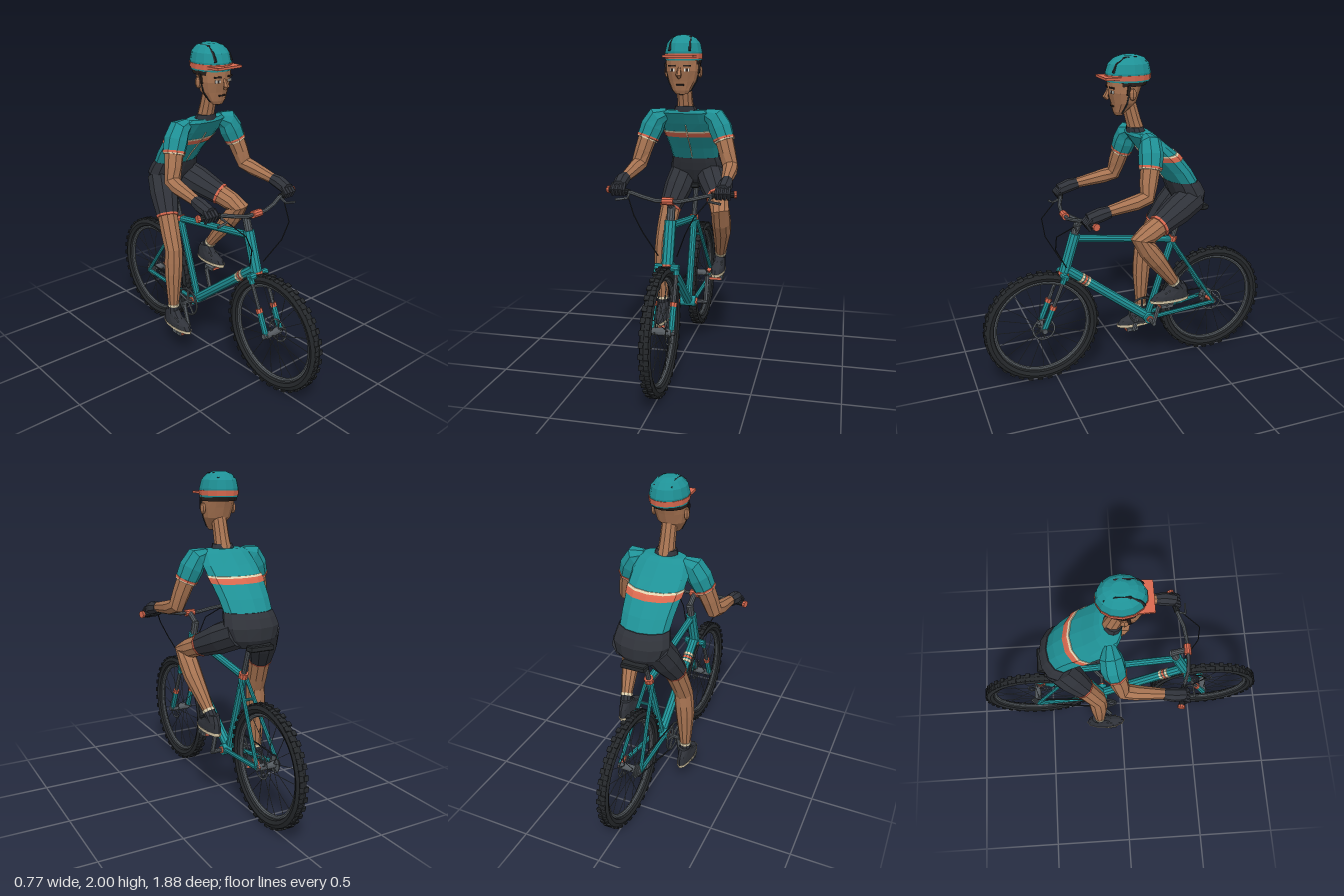
import * as THREE from 'three';

const mat = (name, color) => Object.assign(new THREE.MeshStandardMaterial({ color }), { name });
const V = (x, y, z) => new THREE.Vector3(x, y, z);

// Flat-faced skin over a list of equal-sized rings, capped at both ends
function loft(rings) {
  const p = [], tri = (...v) => v.forEach(a => p.push(a.x, a.y, a.z));
  const n = rings[0].length, last = rings[rings.length - 1];
  for (let i = 0; i + 1 < rings.length; i++) for (let j = 0; j < n; j++) {
    const k = (j + 1) % n, a = rings[i][j], b = rings[i][k], c = rings[i + 1][k], d = rings[i + 1][j];
    tri(a, b, c); tri(a, c, d);
  }
  for (let j = 1; j + 1 < n; j++) { tri(rings[0][0], rings[0][j + 1], rings[0][j]); tri(last[0], last[j], last[j + 1]); }
  const g = new THREE.BufferGeometry();
  g.setAttribute('position', new THREE.Float32BufferAttribute(p, 3));
  g.computeVertexNormals();
  return g;
}

// Horizontal oval sections [y, centre z, half width, half depth]
const stack = (secs, n = 12) => loft(secs.map(([y, zc, rx, rz]) => Array.from({ length: n }, (_, j) => {
  const a = j / n * Math.PI * 2;
  return V(rx * Math.cos(a), y, zc - rz * Math.sin(a));
})));

// Round sections along a path of [x, y, z, radius]
function limb(pts, n = 8, r0 = 0.01) {
  const P = pts.map(p => V(p[0], p[1], p[2]));
  const span = P[P.length - 1].clone().sub(P[0]).normalize();
  const ref = Math.abs(span.x) > 0.8 ? V(0, 1, 0) : V(1, 0, 0);
  return loft(P.map((c, i) => {
    const d = V(0, 0, 0);
    if (i) d.add(c.clone().sub(P[i - 1]).normalize());
    if (i + 1 < P.length) d.add(P[i + 1].clone().sub(c).normalize());
    d.normalize();
    const v = d.clone().cross(ref).normalize(), u = v.clone().cross(d), r = pts[i][3] ?? r0;
    return Array.from({ length: n }, (_, j) => {
      const a = (j + 0.5) / n * Math.PI * 2;
      return c.clone().addScaledVector(u, r * Math.cos(a)).addScaledVector(v, r * Math.sin(a));
    });
  }));
}

const lerp = (a, b, t) => a.map((v, i) => v + (b[i] - v) * t);
const flat = g => { const f = g.toNonIndexed(); f.computeVertexNormals(); return f; };

export function createModel() {
  const root = new THREE.Group();
  const teal = mat('teal', 0x1f9297), coral = mat('coral', 0xd9694f), cloth = mat('charcoal cloth', 0x30333a),
    rubber = mat('rubber', 0x25282b), skin = mat('skin', 0xa87452), cream = mat('cream', 0xe2d3b0),
    metal = mat('grey metal', 0x555b60), hair = mat('dark hair', 0x2a211d), white = mat('eye white', 0xf0eee6);
  const add = (name, geo, m, parent = root) => {
    const o = new THREE.Mesh(geo, m); o.name = name; parent.add(o); return o;
  };
  const box = (name, w, h, d, m, x, y, z, parent) => {
    const o = add(name, new THREE.BoxGeometry(w, h, d), m, parent); o.position.set(x, y, z); return o;
  };
  const disc = (name, r, x0, x1, y, z, m, n = 20) => add(name, limb([[x0, y, z, r], [x1, y, z, r]], n), m);
  const hoop = (name, R, r, m, x, y, z, parent = root, seg = 40) => {
    const o = add(name, flat(new THREE.TorusGeometry(R, r, 8, seg).rotateY(Math.PI / 2)), m, parent);
    o.position.set(x, y, z); return o;
  };

  // Wheels
  for (const [name, z] of [['frontWheel', 0.577], ['rearWheel', -0.577]]) {
    const w = new THREE.Group(); w.name = name; w.position.set(0, 0.365, z); root.add(w);
    hoop('tyre', 0.33, 0.031, rubber, 0, 0, 0, w, 44);
    hoop('rim', 0.295, 0.013, metal, 0, 0, 0, w, 44);
    for (let i = 0; i < 36; i++) for (const s of [-1, 1]) {
      const a = (i + (s > 0 ? 0.5 : 0)) / 36 * Math.PI * 2;
      const k = box('tread', 0.026, 0.01, 0.03, rubber, s * 0.015, Math.cos(a) * 0.358, Math.sin(a) * 0.358, w);
      k.rotation.x = a;
    }
    for (let i = 0; i < 20; i++) {
      const a = i / 20 * Math.PI * 2, b = a + (i % 4 < 2 ? 0.25 : -0.25), s = i % 2 ? 1 : -1;
      add('spoke', limb([[s * 0.03, Math.cos(b) * 0.025, Math.sin(b) * 0.025], [0, Math.cos(a) * 0.29, Math.sin(a) * 0.29]], 4, 0.002), metal, w);
    }
    add('hub', limb([[-0.06, 0, 0, 0.022], [0.06, 0, 0, 0.022]], 12), metal, w);
    hoop('brakeDisc', 0.068, 0.006, metal, 0.042, 0, 0, w, 24).scale.x = 0.4;
    for (let i = 0; i < 6; i++) {
      const a = i / 6 * Math.PI * 2;
      add('discArm', limb([[0.042, 0, 0], [0.042, Math.cos(a) * 0.066, Math.sin(a) * 0.066]], 4, 0.004), metal, w);
    }
  }
  add('rearBrakeCaliper', limb([[0.06, 0.36, -0.59, 0.016], [0.06, 0.405, -0.53, 0.016]], 6), coral);

  // Frame
  const tube = (name, a, b, r, m = teal, n = 10) => add(name, limb([[...a, r], [...b, r]], n), m);
  const bb = [0, 0.307, -0.127], seatTop = [0, 0.835, -0.3], headTop = [0, 0.95, 0.35], headLow = [0, 0.71, 0.424];
  const downTop = [0, 0.725, 0.41];
  tube('headTube', headTop, headLow, 0.034);
  tube('topTube', [0, 0.92, 0.35], [0, 0.825, -0.296], 0.023);
  tube('downTube', downTop, bb, 0.031);
  tube('seatTube', bb, seatTop, 0.023);
  [[0.16, cream], [0.195, coral], [0.23, cream]].forEach(([t, m]) =>
    tube('downTubeBand', lerp(downTop, bb, t), lerp(downTop, bb, t + 0.025), 0.034, m));
  tube('seatCollar', lerp(bb, seatTop, 0.96), lerp(bb, seatTop, 1.02), 0.029, coral);
  tube('seatPost', seatTop, [0, 1.02, -0.362], 0.016, metal);
  tube('headsetLower', headLow, [0, 0.69, 0.43], 0.036, coral);
  disc('bottomBracket', 0.034, -0.05, 0.05, bb[1], bb[2], teal, 12);
  disc('bottomBracketCup', 0.022, -0.06, 0.06, bb[1], bb[2], coral, 12);
  for (const s of [-1, 1]) {
    tube('seatStay', [s * 0.022, 0.81, -0.295], [s * 0.07, 0.365, -0.577], 0.012, teal, 8);
    tube('chainStay', [s * 0.035, 0.31, -0.14], [s * 0.07, 0.365, -0.577], 0.014, teal, 8);
    // Fork leg: stanchion, collar and slider
    const top = [s * 0.058, 0.7, 0.435], low = [s * 0.058, 0.365, 0.577];
    tube('forkStanchion', top, low, 0.012, metal, 8);
    tube('forkShoulder', top, lerp(top, low, 0.12), 0.018, teal, 8);
    tube('forkCollar', lerp(top, low, 0.54), lerp(top, low, 0.61), 0.021, coral, 8);
    tube('forkSlider', lerp(top, low, 0.61), low, 0.018, teal, 8);
    disc('dropout', 0.02, s * 0.05, s * 0.075, 0.365, -0.577, metal, 8);
    disc('axleEnd', 0.017, s * 0.06, s * 0.08, 0.365, 0.577, metal, 8);
  }
  tube('forkCrown', [-0.07, 0.695, 0.435], [0.07, 0.695, 0.435], 0.022);
  tube('seatStayBridge', [-0.035, 0.7, -0.365], [0.035, 0.7, -0.365], 0.009);

  // Saddle
  const sh = new THREE.Shape([[-0.018, 0.32], [0.018, 0.32], [0.03, 0.41], [0.075, 0.47], [0.068, 0.505],
    [-0.068, 0.505], [-0.075, 0.47], [-0.03, 0.41]].map(p => new THREE.Vector2(...p)));
  const seat = new THREE.ExtrudeGeometry(sh, { depth: 0.022, bevelSize: 0.006, bevelThickness: 0.006, bevelSegments: 1 });
  add('saddle', seat.rotateX(-Math.PI / 2).translate(0, 1.028, 0), rubber);
  for (const s of [-1, 1]) add('saddleRail', limb([[s * 0.012, 1.03, -0.34], [s * 0.02, 1.0, -0.37], [s * 0.035, 1.025, -0.48]], 5, 0.005), metal);

  // Steering
  tube('steererSpacer', headTop, [0, 1.03, 0.326], 0.024, metal);
  tube('stem', [0, 1.025, 0.322], [0, 1.076, 0.41], 0.018, metal);
  disc('barClamp', 0.023, -0.032, 0.032, 1.076, 0.412, coral, 10);
  for (const s of [-1, 1]) {
    add('handlebar', limb([[0, 1.076, 0.412], [s * 0.07, 1.076, 0.412], [s * 0.15, 1.093, 0.4], [s * 0.22, 1.108, 0.372], [s * 0.375, 1.115, 0.335]], 8, 0.012), metal);
    tube('grip', [s * 0.24, 1.11, 0.367], [s * 0.365, 1.115, 0.337], 0.018, rubber);
    tube('gripEnd', [s * 0.363, 1.115, 0.337], [s * 0.378, 1.115, 0.333], 0.022, coral);
    add('brakeLever', limb([[s * 0.24, 1.1, 0.37], [s * 0.235, 1.085, 0.42], [s * 0.305, 1.075, 0.425]], 6, 0.008), metal);
    add('brakeCable', limb([[s * 0.23, 1.085, 0.41], [s * 0.17, 1.01, 0.51], [s * 0.12, 0.91, 0.505], [s * 0.055, 0.76, 0.425]], 5, 0.0035), rubber);
  }

  // Drivetrain
  hoop('chainring', 0.09, 0.007, metal, -0.082, bb[1], bb[2], root, 28);
  for (let i = 0; i < 5; i++) {
    const a = i / 5 * Math.PI * 2;
    tube('chainringArm', [-0.082, ...bb.slice(1)], [-0.082, bb[1] + Math.cos(a) * 0.088, bb[2] + Math.sin(a) * 0.088], 0.008, metal, 5);
  }
  [0.05, 0.04, 0.031].forEach((r, i) => disc('cassetteCog', r, -0.045 - i * 0.008, -0.05 - i * 0.008, 0.365, -0.577, metal));
  for (const s of [-1, 1]) tube('chain', [-0.08, bb[1] + s * 0.095, bb[2]], [-0.055, 0.365 + s * 0.048, -0.577], 0.005, rubber, 5);
  for (const s of [-1, 1]) {
    const y = bb[1] + s * 0.16, z = bb[2] - s * 0.047, x = s * 0.115;
    tube('crankAxle', [0, bb[1], bb[2]], [s * 0.125, bb[1], bb[2]], 0.014, metal);
    tube('crankArm', [x, bb[1], bb[2]], [x, y, z], 0.014, metal, 6);
    tube('pedalAxle', [x, y, z], [s * 0.225, y, z], 0.008, metal, 6);
    box('pedal', 0.09, 0.022, 0.08, metal, s * 0.175, y, z);
    for (const e of [-1, 1]) box('pedalReflector', 0.07, 0.014, 0.006, coral, s * 0.175, y, z + e * 0.042);
  }

  // Torso
  const body = [[1.22, -0.345, 0.152, 0.097], [1.3, -0.29, 0.16, 0.104], [1.4, -0.2, 0.172, 0.112],
    [1.47, -0.128, 0.175, 0.094], [1.535, -0.068, 0.16, 0.08], [1.555, -0.055, 0.13, 0.062]];
  const at = y => {
    const i = Math.max(0, body.findIndex(b => b[0] >= y) - 1), a = body[i], b = body[i + 1];
    const c = lerp(a, b, (y - a[0]) / (b[0] - a[0]));
    return [y, c[1], c[2] + 0.004, c[3] + 0.004];
  };
  add('jersey', stack(body), teal);
  add('jerseyBand', stack([1.378, 1.4, 1.408].map(at)), coral);
  add('jerseyPiping', stack([1.408, 1.418].map(at)), cream);
  add('zip', limb([1.24, 1.3, 1.4, 1.46].map(y => { const c = at(y); return [0, y, c[1] + c[3], 0.004]; }), 4), cream);
  add('collar', stack([[1.545, -0.045, 0.075, 0.056], [1.58, -0.036, 0.062, 0.05]]), cloth);
  add('pelvis', stack([[1.03, -0.41, 0.09, 0.05], [1.08, -0.4, 0.15, 0.088], [1.15, -0.38, 0.175, 0.11], [1.2, -0.357, 0.165, 0.108], [1.23, -0.34, 0.156, 0.102]]), cloth);

  // Arms
  for (const s of [-1, 1]) {
    const arm = (name, pts, m, n = 8) => add(name, limb(pts.map(([x, ...r]) => [s * x, ...r]), n), m);
    arm('sleeve', [[0.12, 1.53, -0.065, 0.035], [0.18, 1.51, -0.062, 0.066], [0.213, 1.45, -0.055, 0.074], [0.238, 1.385, -0.042, 0.067]], teal);
    arm('sleeveHem', [[0.237, 1.39, -0.043, 0.07], [0.241, 1.378, -0.04, 0.069]], coral);
    arm('sleevePiping', [[0.241, 1.378, -0.04, 0.067], [0.244, 1.37, -0.038, 0.066]], cream);
    arm('arm', [[0.235, 1.4, -0.044, 0.058], [0.265, 1.3, -0.02, 0.053], [0.286, 1.222, 0.0, 0.049], [0.294, 1.203, 0.07, 0.045], [0.303, 1.172, 0.25, 0.031]], skin);
    arm('glove', [[0.304, 1.172, 0.235, 0.035], [0.308, 1.162, 0.29, 0.042], [0.304, 1.14, 0.36, 0.038]], cloth);
    for (let k = 0; k < 4; k++) {
      const x = 0.272 + k * 0.022;
      arm('finger', [[x, 1.155, 0.35, 0.012], [x, 1.125, 0.382, 0.013], [x, 1.09, 0.36, 0.011]], cloth, 6);
    }
  }

  // Legs: hip to hem, hem to knee, knee to ankle, then the foot
  const legs = [
    { hip: [0.085, 1.12, -0.39], hem: [0.19, 1.0, -0.12], knee: [0.232, 0.942, 0.02], calf: [0.225, 0.8, -0.09], ankle: [0.188, 0.59, -0.25], foot: [0.182, 0.488, -0.205] },
    { hip: [-0.085, 1.12, -0.38], hem: [-0.15, 0.9, -0.24], knee: [-0.168, 0.7, -0.16], calf: [-0.177, 0.54, -0.155], ankle: [-0.182, 0.27, -0.155], foot: [-0.18, 0.16, -0.115] }];
  for (const L of legs) {
    const m = t => lerp(L.hip, L.hem, t), c = t => lerp(L.calf, L.ankle, t);
    add('shortsLeg', limb([[...L.hip, 0.092], [...m(0.45), 0.092], [...L.hem, 0.07]], 10), cloth);
    add('shortsHem', limb([[...m(0.97), 0.074], [...m(1.02), 0.071]], 10), coral);
    add('leg', limb([[...m(0.9), 0.066], [...lerp(L.hem, L.knee, 0.6), 0.062], [...L.knee, 0.058],
      [...lerp(L.knee, L.calf, 0.5), 0.06], [...L.calf, 0.058], [...c(0.6), 0.042], [...L.ankle, 0.03]], 10), skin);
    add('sock', limb([[...c(0.86), 0.036], [...c(1.15), 0.034]], 10), cloth);
    add('sockCuff', limb([[...c(0.82), 0.039], [...c(0.88), 0.038]], 10), cream);
    const f = new THREE.Group(); f.name = 'shoe'; f.position.set(...L.foot); root.add(f);
    add('sole', stack([[0, 0, 0.043, 0.13], [0.02, 0, 0.047, 0.135]]), cream, f);
    add('shoeUpper', stack([[0.02, 0, 0.044, 0.131], [0.045, -0.008, 0.043, 0.12], [0.075, -0.04, 0.038, 0.082], [0.118, -0.05, 0.036, 0.045]]), cloth, f);
    for (let k = 0; k < 2; k++) box('shoeStrap', 0.06, 0.008, 0.014, metal, 0, 0.064 + k * 0.012, 0.035 - k * 0.025, f).rotation.x = 0.5;
  }

  // Head
  add('neck', limb([[0, 1.54, -0.05, 0.052], [0, 1.62, -0.026, 0.047], [0, 1.73, 0.005, 0.045]], 10), skin);
  add('head', stack([[1.655, 0.066, 0.035, 0.022], [1.677, 0.06, 0.056, 0.038], [1.73, 0.036, 0.085, 0.075], [1.79, 0.035, 0.1, 0.095], [1.85, 0.025, 0.103, 0.108]]), skin);
  add('hairline', stack([[1.828, 0.014, 0.106, 0.112], [1.852, 0.01, 0.109, 0.122]]), hair);
  add('nose', limb([[0, 1.81, 0.126, 0.008], [0, 1.768, 0.145, 0.018], [0, 1.752, 0.13, 0.012]], 5), skin);
  const mouth = box('mouth', 0.045, 0.009, 0.008, hair, 0, 1.71, 0.105); mouth.rotation.x = 0.27;
  for (const s of [-1, 1]) {
    const face = (name, w, h, m, x, y, z) => { box(name, w, h, 0.008, m, s * x, y, z).rotation.y = s * 0.27; };
    face('eye', 0.03, 0.016, white, 0.043, 1.796, 0.119);
    face('iris', 0.012, 0.016, hair, 0.043, 1.796, 0.121);
    face('eyebrow', 0.045, 0.009, hair, 0.045, 1.82, 0.122);
    const ear = add('ear', flat(new THREE.SphereGeometry(1, 6, 5)), skin);
    ear.scale.set(0.016, 0.036, 0.024); ear.position.set(s * 0.101, 1.785, 0.015);
    add('sideburn', limb([[s * 0.1, 1.835, 0.035, 0.013], [s * 0.099, 1.78, 0.045, 0.008]], 4), hair);
    add('chinStrap', limb([[s * 0.105, 1.84, 0.03], [s * 0.084, 1.73, 0.042], [s * 0.054, 1.677, 0.06], [0, 1.652, 0.075]], 4, 0.006), rubber);
    add('helmetVent', limb([[s * 0.06, 1.905, 0.118], [s * 0.056, 1.95, 0.095], [s * 0.048, 1.983, 0.045], [s * 0.046, 1.985, -0.025], [s * 0.05, 1.957, -0.085]], 5, 0.009), rubber);
    add('helmetVentTrim', limb([[s * 0.044, 1.955, 0.096], [s * 0.038, 1.983, 0.055]], 4, 0.005), cream);
  }

  // Helmet
  add('helmet', stack([[1.85, 0.005, 0.108, 0.132], [1.9, 0.005, 0.111, 0.136], [1.95, 0.003, 0.1, 0.122], [1.982, 0, 0.072, 0.09], [1.998, 0, 0.035, 0.045]], 14), teal);
  add('helmetBand', stack([[1.86, 0.005, 0.112, 0.136], [1.89, 0.005, 0.114, 0.139]], 14), coral);
  const brim = new THREE.Shape([[-0.095, -0.06], [0.095, -0.06], [0.09, -0.172], [-0.09, -0.172]].map(p => new THREE.Vector2(...p)));
  add('visor', new THREE.ExtrudeGeometry(brim, { depth: 0.014, bevelEnabled: false }).rotateX(-Math.PI / 2).translate(0, 1.868, 0), coral);
  return root;
}
